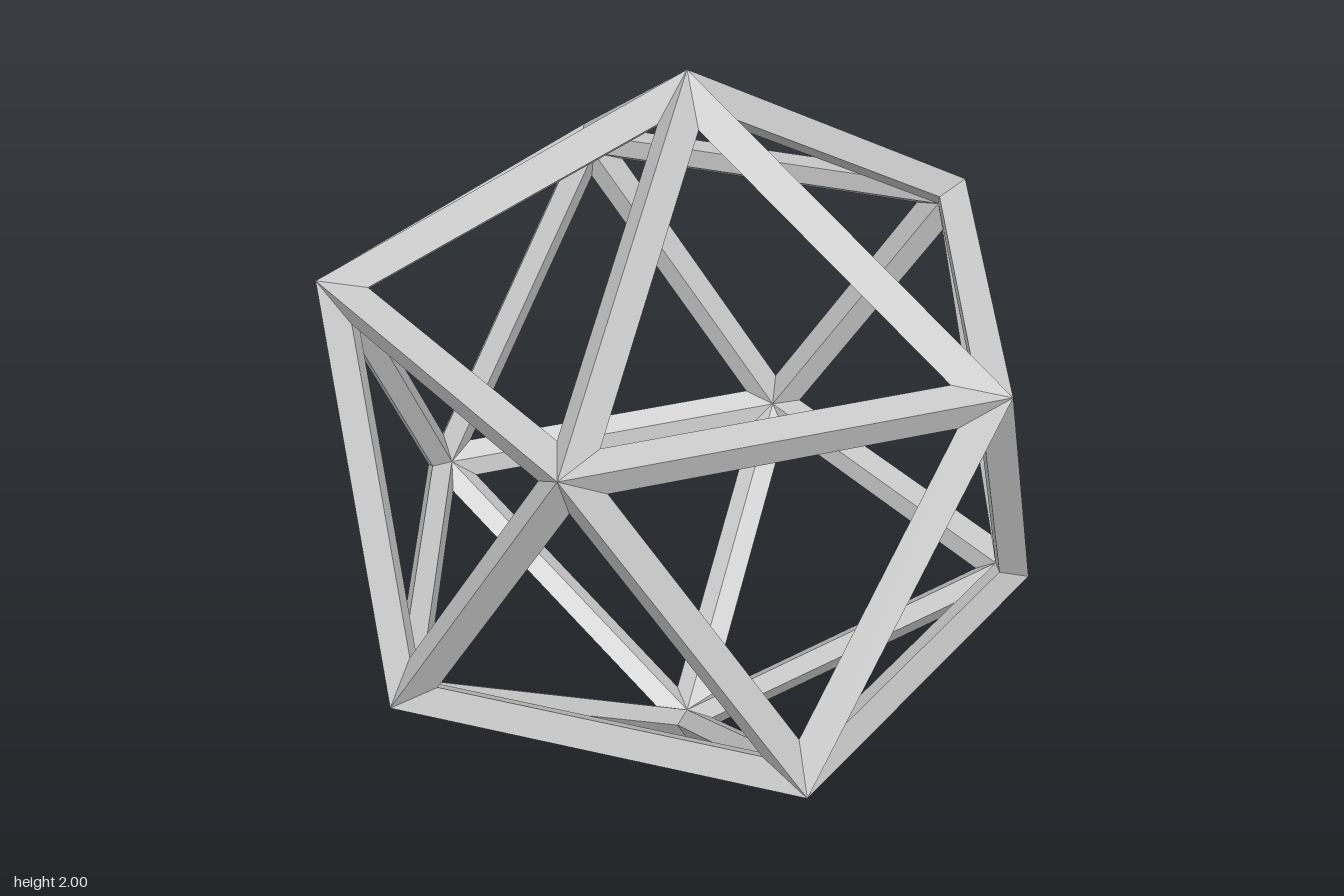
import * as THREE from 'three';

const INSET = 0.106;   // how far each window corner moves in from the vertex
const SIDE = 0.95;     // radial scale of the window corners
const INNER = 0.9;     // radial scale of the inner ridge

// Vertex numbers: 0 top, 1-5 upper ring, 6-10 lower ring, 11 bottom
function icosahedron() {
  const ringY = 1 / Math.sqrt(5), ringR = 2 * ringY;
  const ring = (y, offset) => Array.from({ length: 5 }, (_, i) => {
    const a = (i * 72 + offset) * Math.PI / 180;
    return new THREE.Vector3(ringR * Math.cos(a), y, ringR * Math.sin(a));
  });
  const verts = [new THREE.Vector3(0, 1, 0), ...ring(ringY, 0), ...ring(-ringY, 36), new THREE.Vector3(0, -1, 0)];
  const faces = [];
  for (let i = 0; i < 5; i++) {
    const j = (i + 1) % 5;
    const u0 = 1 + i, u1 = 1 + j, l0 = 6 + i, l1 = 6 + j;
    faces.push([0, u1, u0], [u0, u1, l0], [l0, u1, l1], [11, l0, l1]);
  }
  return { verts, faces };
}

// Kite-section strut from a to b; left and right are its two side edges
function strutGeometry(a, b, left, right) {
  const ai = a.clone().multiplyScalar(INNER), bi = b.clone().multiplyScalar(INNER);
  const quads = [
    [a, b, left[1], left[0]],
    [b, a, right[0], right[1]],
    [left[0], left[1], bi, ai],
    [right[1], right[0], ai, bi],
  ];
  const points = quads.flatMap(([p, q, r, s]) => [p, q, r, p, r, s]);
  const geometry = new THREE.BufferGeometry().setFromPoints(points);
  geometry.computeVertexNormals();
  return geometry;
}

export function createModel() {
  const model = new THREE.Group();
  model.name = 'icosahedronFrame';
  const material = new THREE.MeshStandardMaterial({ color: 0xcccccc, flatShading: true });
  const { verts, faces } = icosahedron();

  // Window corners of every face, stored by directed edge
  const sides = new Map();
  for (const face of faces) {
    const centre = new THREE.Vector3();
    face.forEach(v => centre.addScaledVector(verts[v], 1 / 3));
    const corners = face.map(v => {
      const inward = centre.clone().sub(verts[v]).normalize();
      return verts[v].clone().multiplyScalar(SIDE).addScaledVector(inward, INSET);
    });
    face.forEach((v, i) => {
      const n = (i + 1) % 3;
      sides.set(`${v}-${face[n]}`, [corners[i], corners[n]]);
    });
  }

  // One strut per edge
  const partName = (a, b) => a === 0 ? 'topStrut' : b === 11 ? 'bottomStrut'
    : b < 6 ? 'upperRingStrut' : a > 5 ? 'lowerRingStrut' : 'middleStrut';
  for (let a = 0; a < 12; a++) {
    for (let b = a + 1; b < 12; b++) {
      const left = sides.get(`${a}-${b}`);
      if (!left) continue;
      const right = [...sides.get(`${b}-${a}`)].reverse();
      const strut = new THREE.Mesh(strutGeometry(verts[a], verts[b], left, right), material);
      strut.name = partName(a, b);
      strut.position.y = 1;
      model.add(strut);
    }
  }
  return model;
}
